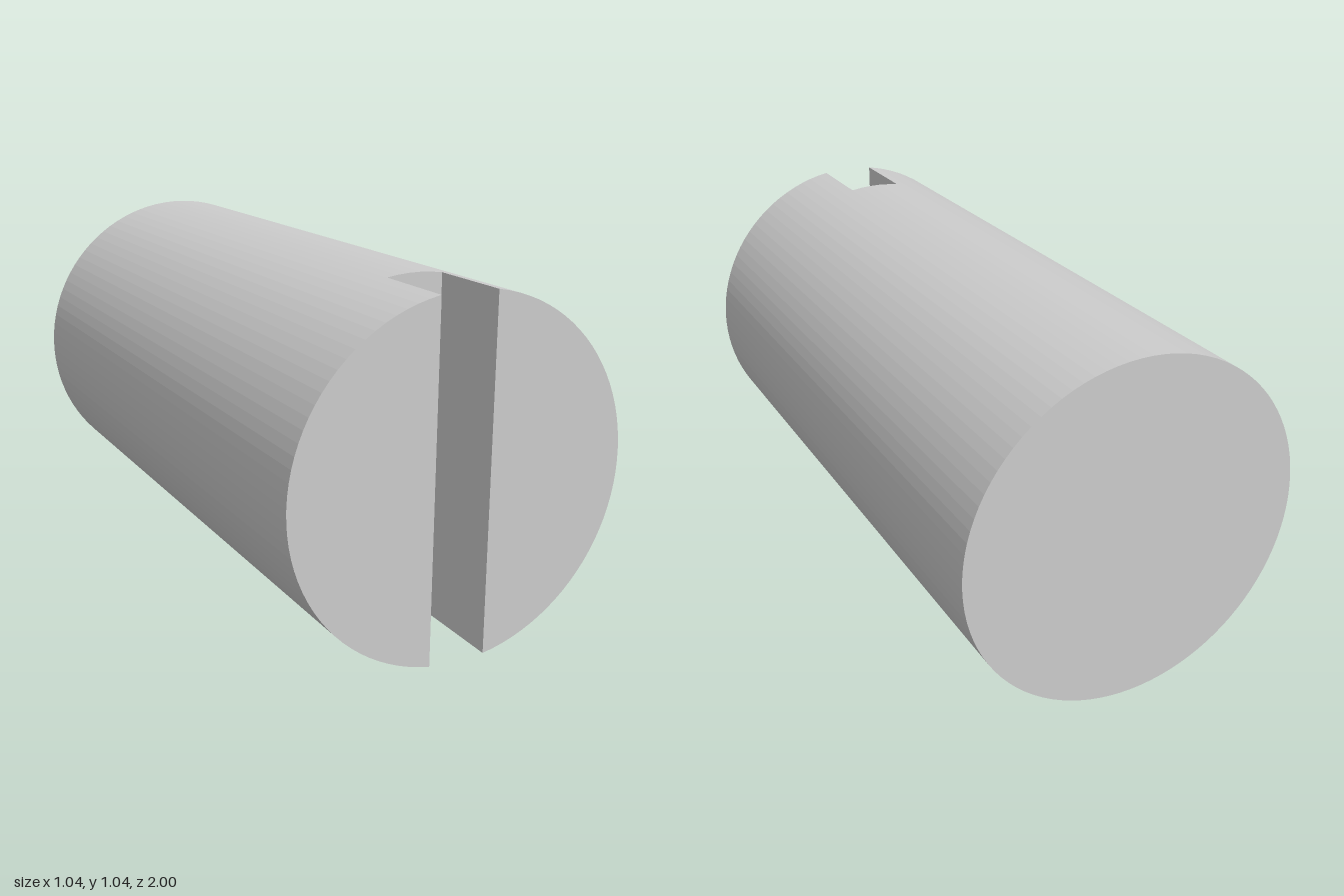
import * as THREE from 'three';

const R = 0.52, HALF_SLOT = 0.0875, BACK = -1, FLOOR = 0.737, FRONT = 1;
const A = Math.asin(HALF_SLOT / R); // half angle of the slot at the rim

// Points on the rim from one angle to another, both ends included
function arc(from, to, segments) {
  return Array.from({ length: segments + 1 }, (_, i) => {
    const t = from + (to - from) * i / segments;
    return new THREE.Vector2(R * Math.cos(t), R * Math.sin(t));
  });
}

// Extrude an outline between two z values, leaving out cap triangles hidden at the joint
function prism(points, z0, z1, hidden = () => false) {
  const geo = new THREE.ExtrudeGeometry(new THREE.Shape(points),
    { depth: z1 - z0, bevelEnabled: false }).translate(0, 0, z0).toNonIndexed();
  const p = geo.attributes.position, kept = [];
  for (let i = 0; i < p.count; i += 3) {
    const corners = [0, 1, 2].map(k => new THREE.Vector3().fromBufferAttribute(p, i + k));
    if (!hidden(corners)) corners.forEach(c => kept.push(c.x, c.y, c.z));
  }
  const out = new THREE.BufferGeometry();
  out.setAttribute('position', new THREE.Float32BufferAttribute(kept, 3));
  out.computeVertexNormals();
  return out;
}

export function createModel() {
  const group = new THREE.Group();
  const material = new THREE.MeshStandardMaterial({ color: 0xcccccc, flatShading: true });
  const add = (name, geo) => {
    const mesh = new THREE.Mesh(geo, material);
    mesh.name = name;
    group.add(mesh);
  };
  const atJoint = corners => corners.every(c => Math.abs(c.z - FLOOR) < 1e-4);

  const h = Math.PI / 2;
  const left = arc(-h + A, h - A, 43);
  const right = arc(h + A, 3 * h - A, 43);
  const top = arc(h - A, h + A, 5);
  const bottom = arc(3 * h - A, 3 * h + A, 5);

  // Shaft behind the slot, open where the cheeks and slot floor close it
  const rim = [left, top, right, bottom].flatMap(a => a.slice(0, -1));
  add('shaft', prism(rim, BACK, FLOOR, atJoint));

  // Two cheeks either side of the slot
  add('leftCheek', prism(left, FLOOR, FRONT, atJoint));
  add('rightCheek', prism(right, FLOOR, FRONT, atJoint));

  // Flat floor of the slot
  add('slotFloor', new THREE.ShapeGeometry(new THREE.Shape([...top, ...bottom])).translate(0, 0, FLOOR));

  // Stand on the ground
  group.children.forEach(m => m.geometry.translate(0, R, 0));
  return group;
}
